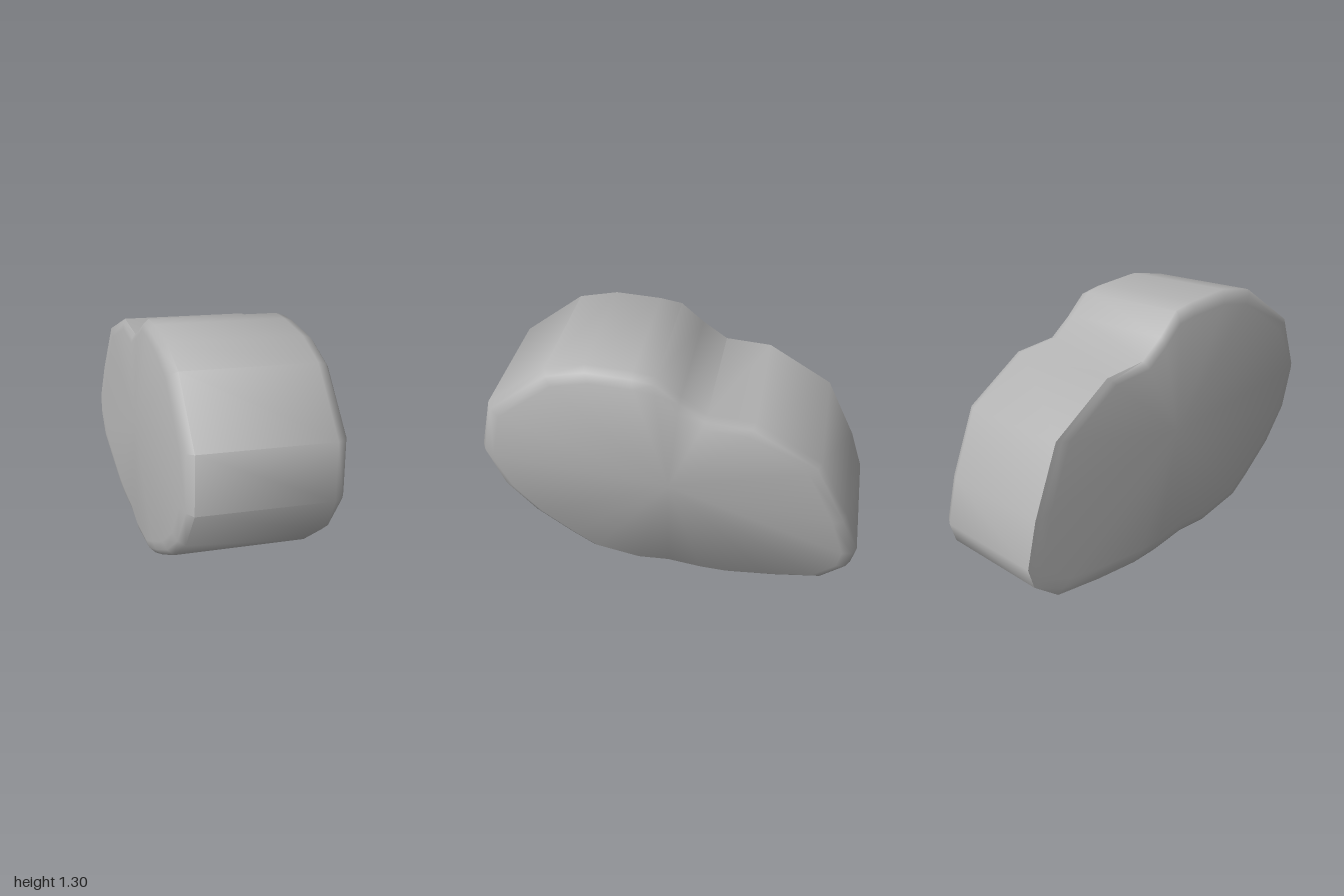
import * as THREE from 'three';
import { toCreasedNormals } from 'three/addons/utils/BufferGeometryUtils.js';

// Outline of the slab's left rim as [z, y]
const OUTLINE = [
  [1.0, 0.76], [0.93, 1.03], [0.64, 1.26], [0.46, 1.3], [0.25, 1.285], [0.15, 1.265],
  [0.05, 1.165], [-0.06, 1.075], [-0.27, 1.055], [-0.56, 0.85], [-0.69, 0.52], [-0.745, 0.3],
  [-0.72, 0.2], [-0.6, 0.1], [-0.37, 0.07], [-0.15, 0.055], [-0.02, 0.065], [0.15, 0.095],
  [0.31, 0.09], [0.53, 0.145], [0.64, 0.23], [0.8, 0.37], [0.93, 0.54],
];
const CENTRE = [0.12, 0.66];
const SHIFT = new THREE.Vector3(0.6, -0.055, -0.25); // left rim to right rim
const NORMAL = SHIFT.clone().normalize();

// Rings from left cap to right cap: [scale, position along the shift, bulge along the normal]
const RINGS = [
  [0, 0, -0.04], [0.9, 0, -0.04], [0.96, 0, -0.028], [1, 0, 0],
  [1, 1, 0], [0.975, 1, 0.045], [0.92, 1, 0.075], [0, 1, 0.075],
];

function slabGeometry() {
  const n = OUTLINE.length;
  const points = [];
  const index = [];
  for (const [scale, along, bulge] of RINGS) {
    for (const [pz, py] of OUTLINE) {
      const z = CENTRE[0] + (pz - CENTRE[0]) * scale;
      const y = CENTRE[1] + (py - CENTRE[1]) * scale;
      // The left cap bulges only towards the front
      const grow = bulge < 0 ? THREE.MathUtils.clamp((z + 0.75) / 1.2, 0, 1) : 1;
      const p = new THREE.Vector3(-0.4325 + 0.09 * y + 0.43 * z, y, z);
      p.addScaledVector(SHIFT, along).addScaledVector(NORMAL, bulge * grow);
      points.push(p);
    }
  }
  for (let r = 0; r < RINGS.length - 1; r++) {
    for (let j = 0; j < n; j++) {
      const a = r * n + j;
      const b = r * n + ((j + 1) % n);
      if (RINGS[r][0] > 0) index.push(a, a + n, b);
      if (RINGS[r + 1][0] > 0) index.push(b, a + n, b + n);
    }
  }
  const geometry = new THREE.BufferGeometry().setFromPoints(points);
  geometry.setIndex(index);
  return toCreasedNormals(geometry, 0.95);
}

export function createModel() {
  const group = new THREE.Group();
  group.name = 'stoneSlab';
  const stoneGrey = new THREE.MeshStandardMaterial({ color: 0xb4b4b4 });
  stoneGrey.name = 'stoneGrey';
  const slab = new THREE.Mesh(slabGeometry(), stoneGrey);
  slab.name = 'slab';
  group.add(slab);
  return group;
}
